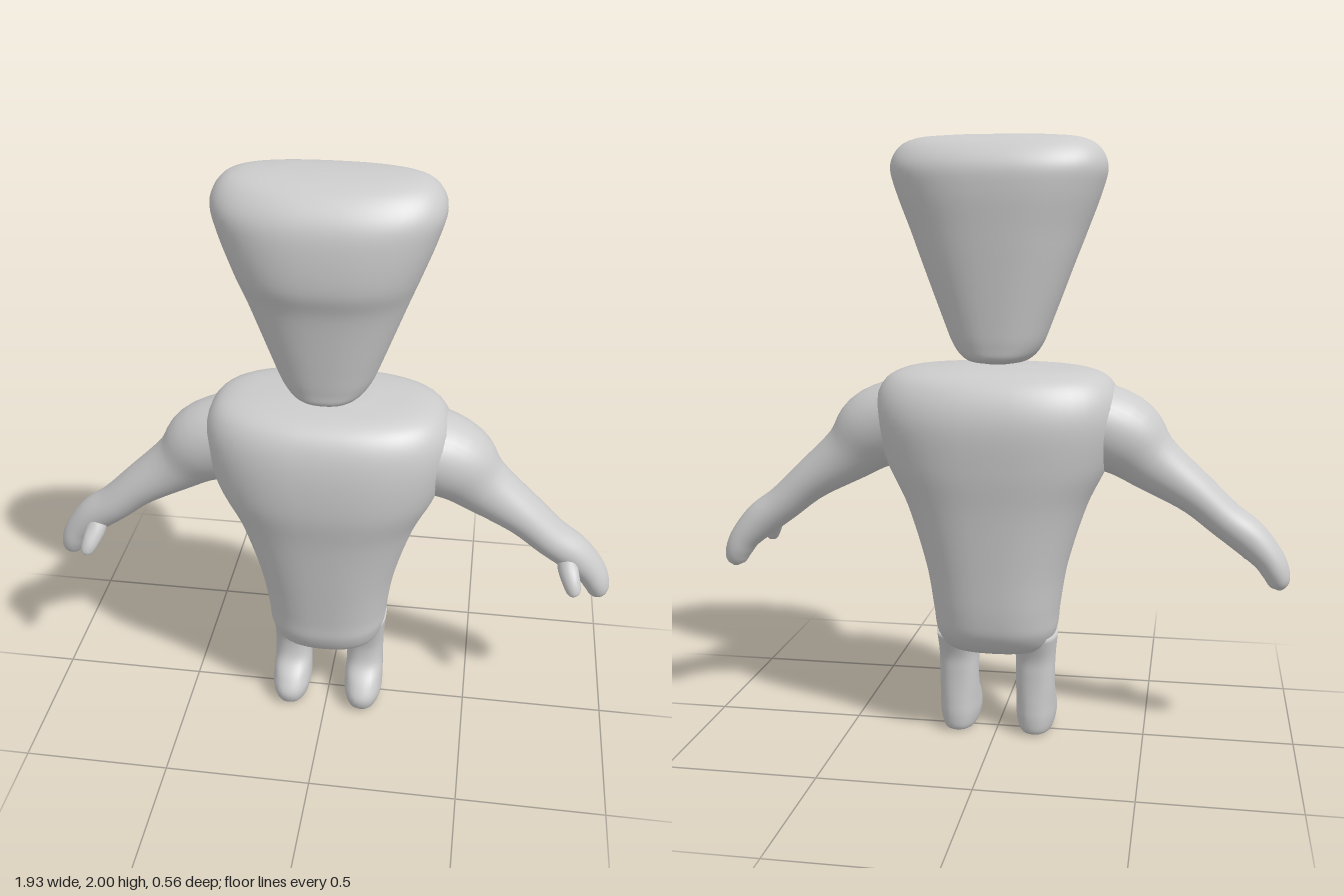
import * as THREE from 'three';

const material = new THREE.MeshStandardMaterial({ color: 0xcccccc });

// Smooth closed loft. Each section: [x, y, z, half width in the xy plane, half depth in z, squareness].
function loft(name, sections, rows = 40, cols = 36) {
  const spine = new THREE.CatmullRomCurve3(
    sections.map(s => new THREE.Vector3(s[0], s[1], s[2])), false, 'catmullrom', 0.5);
  const sizes = new THREE.CatmullRomCurve3(
    sections.map(s => new THREE.Vector3(s[3], s[4], s[5])), false, 'catmullrom', 0.5);
  const round = (v, n) => Math.sign(v) * Math.pow(Math.abs(v), 2 / n);
  const pos = [], index = [];
  for (let i = 0; i <= rows; i++) {
    const c = spine.getPoint(i / rows), size = sizes.getPoint(i / rows);
    const t = spine.getTangent(i / rows).setZ(0).normalize();
    for (let j = 0; j < cols; j++) {
      const a = (j / cols) * Math.PI * 2;
      const u = size.x * round(Math.cos(a), size.z);
      pos.push(c.x + t.y * u, c.y - t.x * u, c.z + size.y * round(Math.sin(a), size.z));
      if (i < rows) {
        const p = i * cols + j, q = i * cols + (j + 1) % cols;
        index.push(p, p + cols, q, q, p + cols, q + cols);
      }
    }
  }
  // end caps
  const first = rows * cols + cols, top = rows * cols;
  pos.push(...spine.getPoint(0).toArray(), ...spine.getPoint(1).toArray());
  for (let j = 0; j < cols; j++) {
    const k = (j + 1) % cols;
    index.push(first, j, k, first + 1, top + k, top + j);
  }
  const geometry = new THREE.BufferGeometry();
  geometry.setAttribute('position', new THREE.Float32BufferAttribute(pos, 3));
  geometry.setIndex(index);
  geometry.computeVertexNormals();
  const mesh = new THREE.Mesh(geometry, material);
  mesh.name = name;
  return mesh;
}

// Upright section from height, half width, front z and back z
const level = (x, n) => ([y, w, front, back]) => [x, y, (front + back) / 2, w, (front - back) / 2, n];

export function createModel() {
  const model = new THREE.Group();
  model.name = 'figure';

  model.add(loft('torso', [
    [0.30, 0.08, 0.10, -0.05],
    [0.31, 0.17, 0.155, -0.13],
    [0.37, 0.202, 0.188, -0.19],
    [0.45, 0.212, 0.198, -0.212],
    [0.60, 0.238, 0.22, -0.228],
    [0.80, 0.30, 0.25, -0.25],
    [0.95, 0.37, 0.278, -0.272],
    [1.10, 0.405, 0.278, -0.28],
    [1.20, 0.385, 0.25, -0.245],
    [1.25, 0.31, 0.19, -0.18],
    [1.27, 0.13, 0.08, -0.07],
  ].map(level(0, 2.5)), 60, 48));

  model.add(loft('head', [
    [1.27, 0.05, 0.07, -0.06],
    [1.285, 0.105, 0.145, -0.125],
    [1.33, 0.145, 0.16, -0.142],
    [1.42, 0.182, 0.175, -0.155],
    [1.60, 0.25, 0.205, -0.178],
    [1.70, 0.288, 0.235, -0.19],
    [1.82, 0.333, 0.236, -0.203],
    [1.90, 0.352, 0.218, -0.198],
    [1.96, 0.325, 0.17, -0.155],
    [1.99, 0.265, 0.11, -0.095],
    [2.00, 0.15, 0.04, -0.03],
  ].map(level(0, 2.4)), 60, 48));

  for (const [side, s] of [['left', 1], ['right', -1]]) {
    const mirror = ([x, ...rest]) => [s * x, ...rest];

    // arm running into the fingers
    model.add(loft(side + 'Arm', [
      [0.25, 1.12, 0, 0.12, 0.17, 2],
      [0.41, 1.04, 0, 0.137, 0.14, 2],
      [0.51, 0.955, 0, 0.10, 0.103, 2],
      [0.65, 0.855, 0.005, 0.072, 0.086, 2],
      [0.75, 0.77, 0.007, 0.063, 0.078, 2],
      [0.83, 0.71, 0.003, 0.062, 0.07, 2],
      [0.89, 0.65, 0, 0.052, 0.064, 2],
      [0.92, 0.60, 0, 0.045, 0.06, 2],
      [0.932, 0.56, 0, 0.034, 0.045, 2],
      [0.936, 0.54, 0, 0.01, 0.014, 2],
    ].map(mirror)));

    model.add(loft(side + 'Thumb', [
      [0.81, 0.74, 0.03, 0.03, 0.03, 2],
      [0.815, 0.69, 0.06, 0.034, 0.036, 2],
      [0.83, 0.65, 0.09, 0.03, 0.033, 2],
      [0.842, 0.62, 0.107, 0.023, 0.024, 2],
      [0.847, 0.608, 0.112, 0.007, 0.008, 2],
    ].map(mirror), 20, 20));

    // leg with the foot pushed forward
    model.add(loft(side + 'Leg', [
      [0.004, 0.035, 0.09, -0.05],
      [0.015, 0.056, 0.127, -0.082],
      [0.06, 0.068, 0.14, -0.09],
      [0.11, 0.068, 0.11, -0.088],
      [0.16, 0.066, 0.062, -0.085],
      [0.22, 0.066, 0.05, -0.084],
      [0.28, 0.068, 0.06, -0.088],
      [0.36, 0.075, 0.09, -0.12],
    ].map(level(s * 0.132, 2.3)), 32, 28));
  }
  return model;
}
